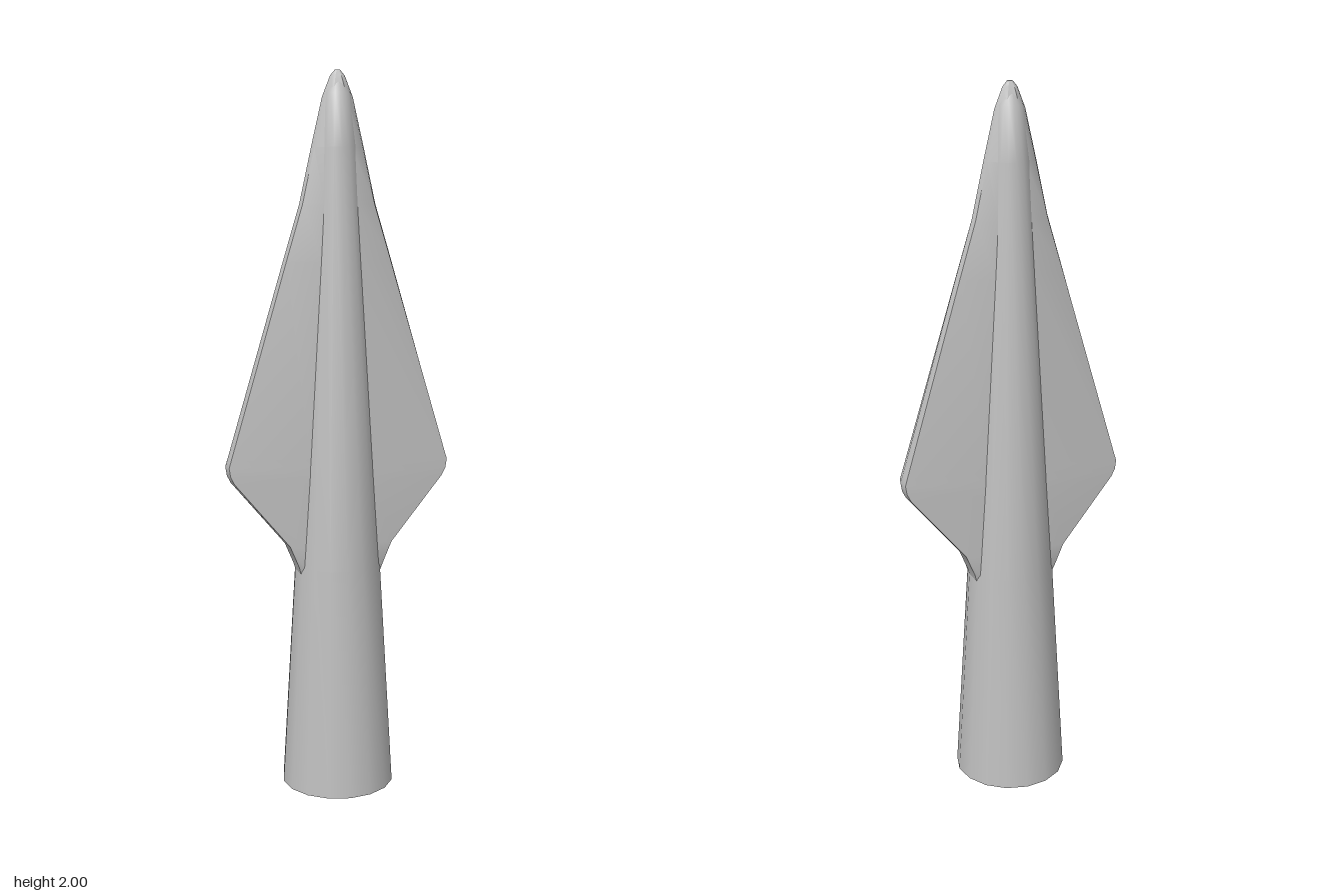
import * as THREE from 'three';
import { toCreasedNormals } from 'three/addons/utils/BufferGeometryUtils.js';

// Horizontal blade sections: [height, half width, edge half thickness, root x, root z]
const SECTIONS = [
  [0.62, 0.114, 0.035, 0.09, 0.045],
  [0.66, 0.125, 0.048, 0.104, 0.054],
  [0.72, 0.150, 0.048, 0.105, 0.054],
  [0.90, 0.300, 0.031, 0.092, 0.053],
  [0.92, 0.310, 0.030, 0.091, 0.053],
  [0.945, 0.314, 0.029, 0.090, 0.052],
  [0.965, 0.308, 0.028, 0.089, 0.052],
  [1.50, 0.150, 0.018, 0.056, 0.044],
  [1.65, 0.105, 0.016, 0.045, 0.041],
  [1.80, 0.072, 0.014, 0.032, 0.037],
  [1.93, 0.042, 0.011, 0.018, 0.029],
  [1.985, 0.020, 0.008, 0.008, 0.013],
  [2.00, 0.007, 0.004, 0.003, 0.005],
];

function bladeGeometry() {
  const positions = [];
  const index = [];
  const n = 10;
  for (const [y, x, e, rx, rz] of SECTIONS) {
    const bx = x - Math.min(0.006, x * 0.2);
    const ring = [
      [x, 0], [bx, e], [rx, rz], [-rx, rz], [-bx, e],
      [-x, 0], [-bx, -e], [-rx, -rz], [rx, -rz], [bx, -e],
    ];
    for (const [px, pz] of ring) positions.push(px, y, pz);
  }
  const last = (SECTIONS.length - 1) * n;
  for (let i = 0; i < last; i += n) {
    for (let j = 0; j < n; j++) {
      const k = (j + 1) % n;
      index.push(i + j, i + n + k, i + k, i + j, i + n + j, i + n + k);
    }
  }
  // Caps at the tip and at the buried lower end
  for (let j = 1; j < n - 1; j++) {
    index.push(last, last + j + 1, last + j, 0, j, j + 1);
  }
  const geometry = new THREE.BufferGeometry();
  geometry.setAttribute('position', new THREE.Float32BufferAttribute(positions, 3));
  geometry.setIndex(index);
  return toCreasedNormals(geometry, 0.6);
}

// Tapered shaft with an open, hollow foot
function socketGeometry() {
  const profile = [
    [0, 0.7], [0.065, 0.7], [0.092, 0], [0.158, 0.017], [0.12, 0.66],
    [0.053, 1.8], [0.035, 1.94], [0.008, 1.985], [0, 1.99],
  ].map(([r, y]) => new THREE.Vector2(r, y));
  return toCreasedNormals(new THREE.LatheGeometry(profile, 16), 0.6);
}

export function createModel() {
  const steel = new THREE.MeshStandardMaterial({ color: 0xc0c0c0 });
  steel.name = 'steel';

  const group = new THREE.Group();
  group.name = 'spearhead';

  const socket = new THREE.Mesh(socketGeometry(), steel);
  socket.name = 'socket';
  const blade = new THREE.Mesh(bladeGeometry(), steel);
  blade.name = 'blade';

  group.add(socket, blade);
  return group;
}
